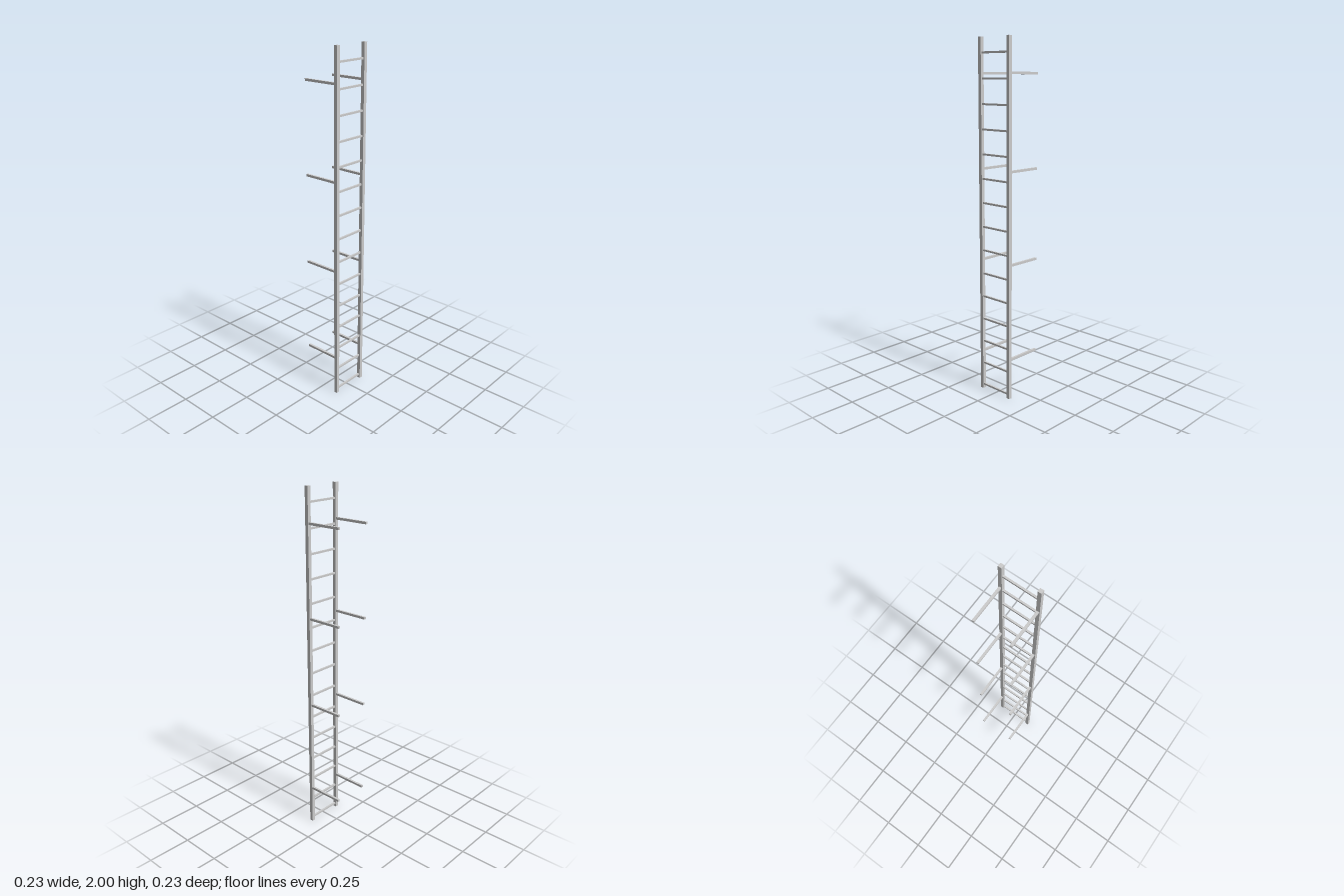
import * as THREE from 'three';

export function createModel() {
  const group = new THREE.Group();
  const material = new THREE.MeshStandardMaterial({ color: 0xcccccc, flatShading: true });

  const addBar = (name, w, h, d, x, y, z) => {
    const bar = new THREE.Mesh(new THREE.BoxGeometry(w, h, d), material);
    bar.name = name;
    bar.position.set(x, y, z);
    group.add(bar);
  };

  const railX = 0.1045, railZ = 0.1035, railSize = 0.0205;
  const backZ = -0.1138, railBack = railZ - railSize / 2;

  // Side rails with the wall brackets that reach back from them
  for (const [side, s] of [['left', 1], ['right', -1]]) {
    addBar(side + 'Rail', railSize, 2, railSize, s * railX, 1, railZ);
    for (const y of [0.232, 0.781, 1.296, 1.811]) {
      addBar(side + 'WallBracket', 0.013, 0.013, railBack - backZ, s * railX, y, (railBack + backZ) / 2);
    }
  }

  // Evenly spaced rungs between the rails
  const rungCount = 15, firstY = 0.0235, lastY = 1.918;
  for (let i = 0; i < rungCount; i++) {
    const y = firstY + ((lastY - firstY) * i) / (rungCount - 1);
    addBar('rung', 2 * railX - railSize, 0.0105, 0.0105, 0, y, railZ - 0.001);
  }

  return group;
}
